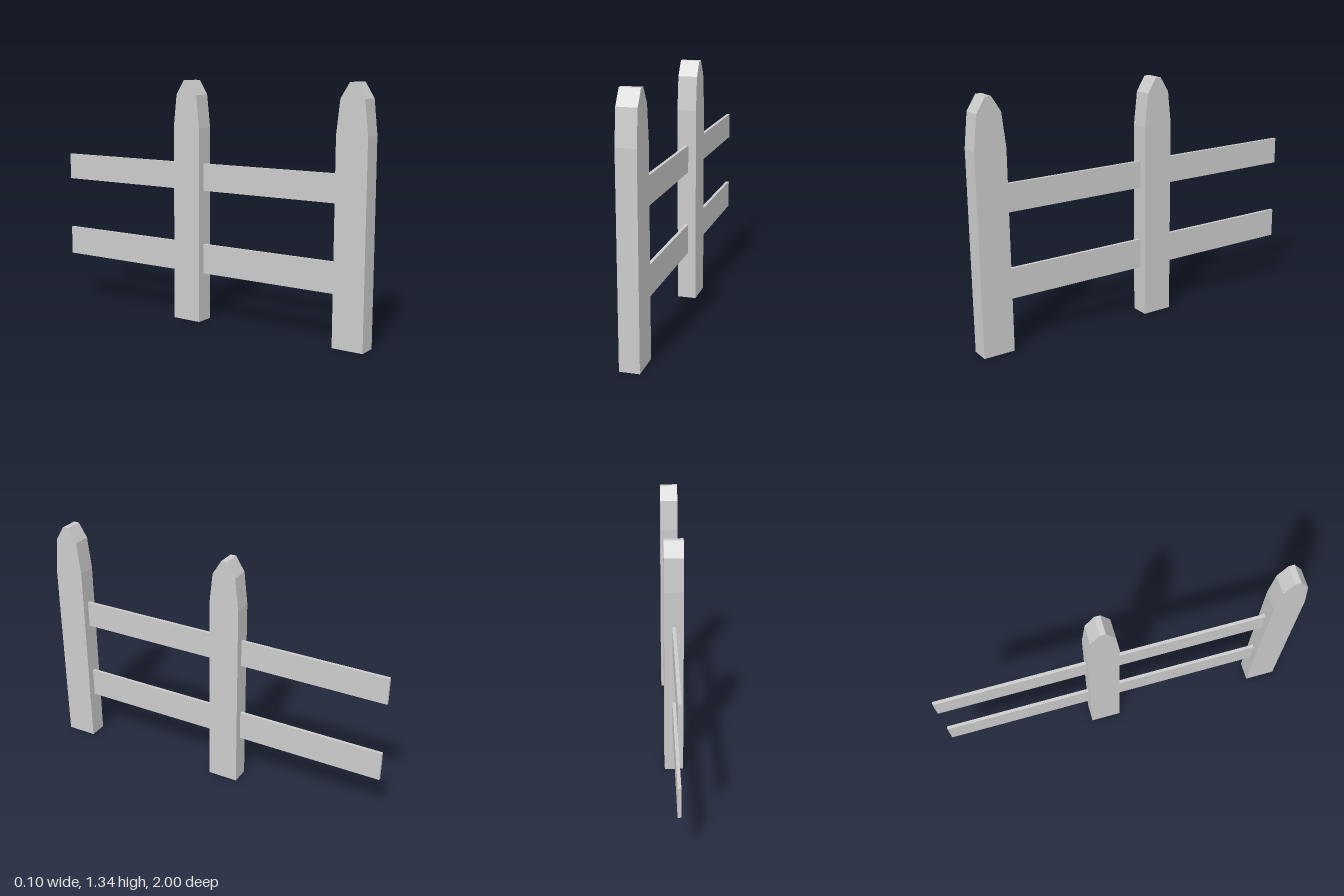
import * as THREE from 'three';

const material = new THREE.MeshStandardMaterial({ color: 0xcccccc, flatShading: true });

const POST_DEPTH = 0.172;   // along z
const POST_WIDTH = 0.104;   // along x
const RAIL_THICKNESS = 0.018;

// Post with a faceted, tapering top; the profile lies in the z-y plane
function postGeometry() {
  const half = POST_DEPTH / 2;
  const rightSide = [[half, 0], [half, 1.08], [0.066, 1.26], [0.016, 1.34]];
  const leftSide = rightSide.map(([z, y]) => [-z, y]).reverse();
  const shape = new THREE.Shape([...rightSide, ...leftSide].map(([z, y]) => new THREE.Vector2(z, y)));
  const geometry = new THREE.ExtrudeGeometry(shape, { depth: POST_WIDTH, bevelEnabled: false });
  geometry.translate(0, 0, -POST_WIDTH / 2);
  geometry.rotateY(-Math.PI / 2);
  return geometry;
}

export function createModel() {
  const fence = new THREE.Group();
  fence.name = 'fence';

  const postShape = postGeometry();
  const rails = [['lowerRail', 0.27, 0.435], ['upperRail', 0.735, 0.885]];

  // Two equal bays: a post at the front end, rails running back from it
  [['front', 1], ['back', 0]].forEach(([label, zFront]) => {
    const bay = new THREE.Group();
    bay.name = `${label}Bay`;

    const post = new THREE.Mesh(postShape, material);
    post.name = 'post';
    post.position.z = zFront - POST_DEPTH / 2;
    bay.add(post);

    const length = 1 - POST_DEPTH;
    for (const [name, bottom, top] of rails) {
      const rail = new THREE.Mesh(new THREE.BoxGeometry(RAIL_THICKNESS, top - bottom, length), material);
      rail.name = name;
      rail.position.set(0, (bottom + top) / 2, zFront - POST_DEPTH - length / 2);
      bay.add(rail);
    }
    fence.add(bay);
  });

  return fence;
}
